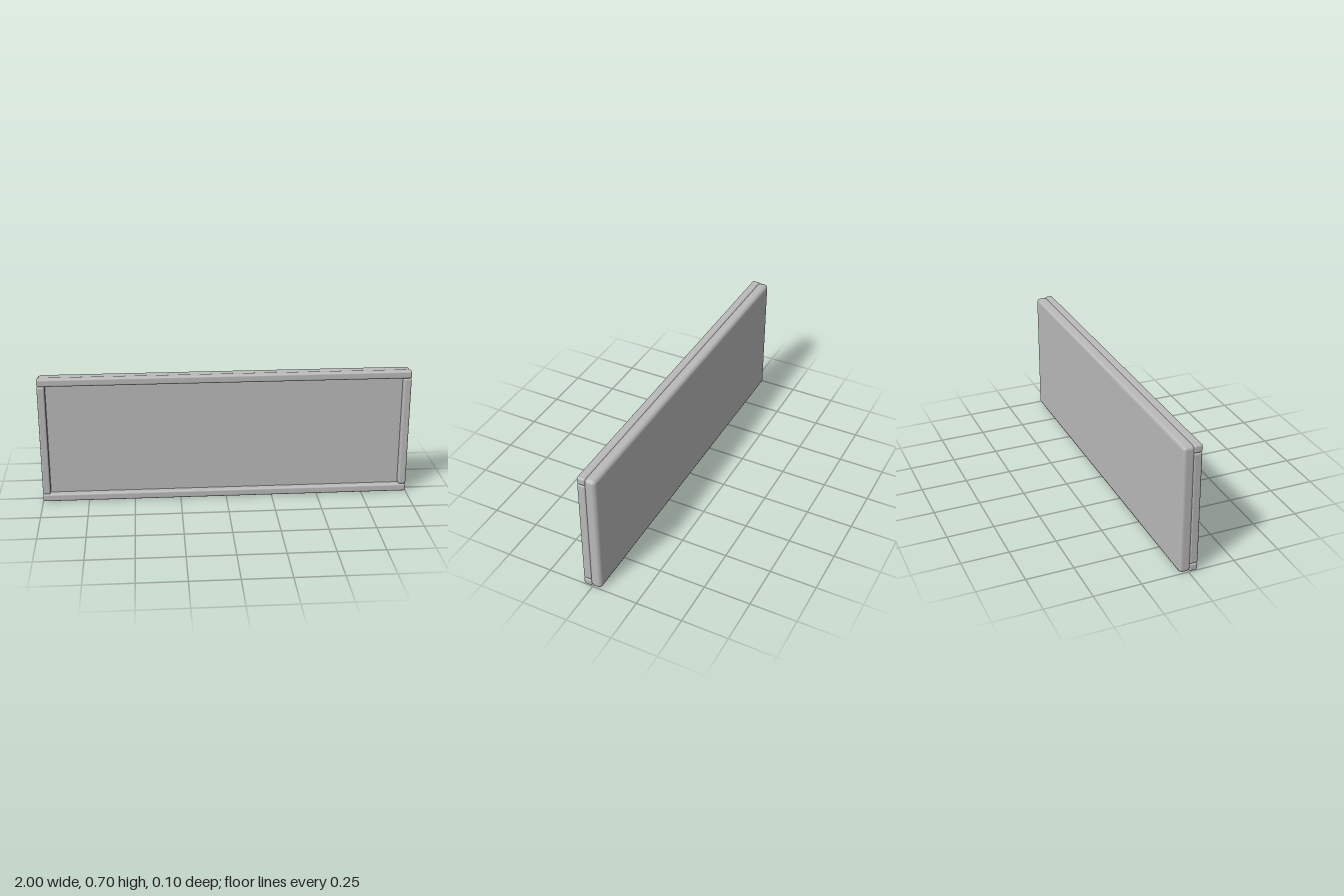
import * as THREE from 'three';
import { RoundedBoxGeometry } from 'three/addons/geometries/RoundedBoxGeometry.js';

const WIDTH = 2, HEIGHT = 0.7, RAIL = 0.042;
const BACK = -0.05, PANEL_FRONT = 0.015, RAIL_BACK = 0.004, FRONT = 0.05;

export function createModel() {
  const group = new THREE.Group();
  group.name = 'framedPanel';
  const grey = new THREE.MeshStandardMaterial({ color: 0xbababa });
  grey.name = 'grey';

  // Rounded block centred on (x, y), spanning z0 to z1
  const addBlock = (name, w, h, z0, z1, x, y, segments, radius) => {
    const mesh = new THREE.Mesh(new RoundedBoxGeometry(w, h, z1 - z0, segments, radius), grey);
    mesh.name = name;
    mesh.position.set(x, y, (z0 + z1) / 2);
    group.add(mesh);
  };

  // Back panel, its front face recessed inside the frame
  addBlock('panel', WIDTH, HEIGHT, BACK, PANEL_FRONT, 0, HEIGHT / 2, 1, 0.02);

  // Full-width top and bottom rails
  addBlock('topRail', WIDTH, RAIL, RAIL_BACK, FRONT, 0, HEIGHT - RAIL / 2, 2, 0.01);
  addBlock('bottomRail', WIDTH, RAIL, RAIL_BACK, FRONT, 0, RAIL / 2, 2, 0.01);

  // Side rails fitted between them
  for (const side of [-1, 1]) {
    addBlock(side > 0 ? 'leftRail' : 'rightRail', RAIL, HEIGHT - 2 * RAIL, RAIL_BACK, FRONT,
      side * (WIDTH - RAIL) / 2, HEIGHT / 2, 2, 0.01);
  }
  return group;
}
